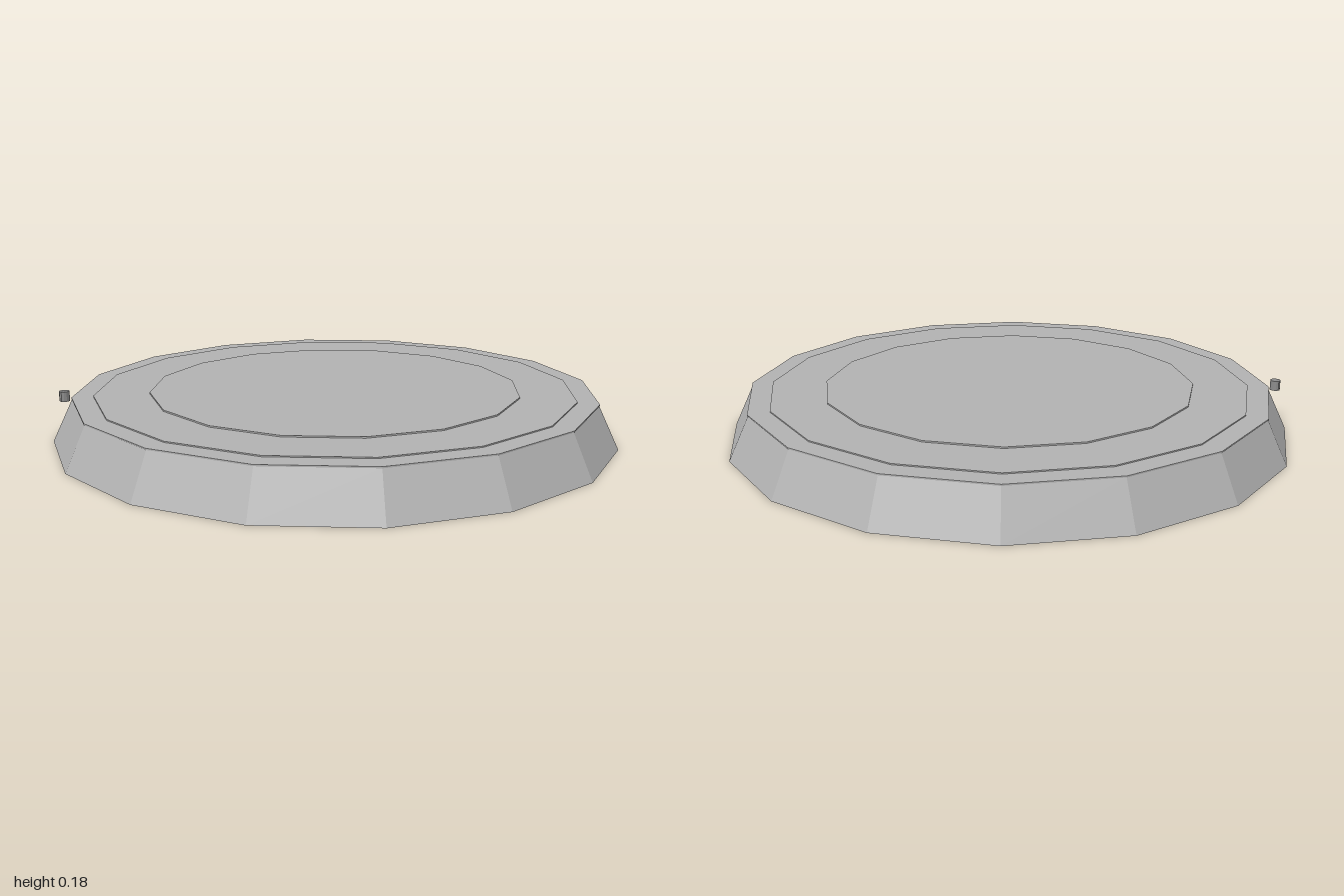
import * as THREE from 'three';

export function createModel() {
  const group = new THREE.Group();
  const grey = new THREE.MeshStandardMaterial({ color: 0xb2b2b2, flatShading: true });
  grey.name = 'light grey';
  const dark = new THREE.MeshStandardMaterial({ color: 0x8c8c8c, flatShading: true });
  dark.name = 'mid grey';

  // Upright cylinder or cone section standing on height y
  function drum(name, rTop, rBottom, y, height, sides, material) {
    const geometry = new THREE.CylinderGeometry(rTop, rBottom, height, sides);
    geometry.translate(0, y + height / 2, 0);
    const mesh = new THREE.Mesh(geometry, material);
    mesh.name = name;
    group.add(mesh);
    return mesh;
  }

  // Sixteen-sided tapered base
  drum('base', 0.927, 1, 0, 0.152, 16, grey);

  // Thin stepped plates on top
  drum('rimPlate', 0.93, 0.93, 0.151, 0.005, 16, grey);
  drum('middlePlate', 0.855, 0.855, 0.155, 0.005, 16, grey);
  drum('centrePlate', 0.66, 0.66, 0.159, 0.006, 16, grey);

  // Small peg at the edge
  drum('peg', 0.018, 0.018, 0.145, 0.035, 12, dark).position.x = -0.953;

  return group;
}
